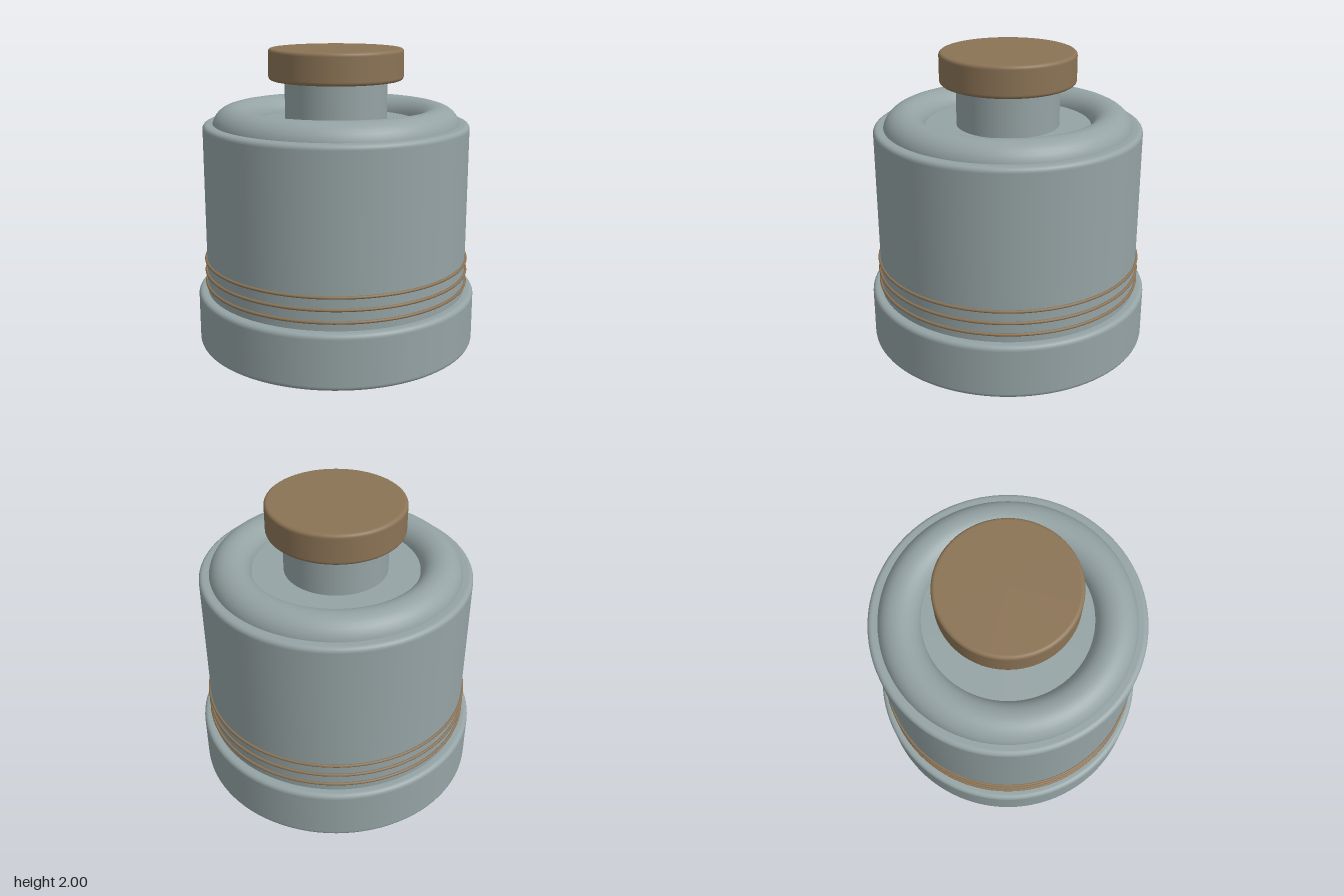
import * as THREE from 'three';

const SEGMENTS = 96;

// Solid disc with rounded rims; points beside each rim keep the flats shaded flat.
function roundedDisc(radius, y0, y1, bevel) {
  const eps = 0.002, steps = 6;
  const points = [new THREE.Vector2(0, y0), new THREE.Vector2(radius - bevel - eps, y0)];
  const rim = (cy, start) => {
    for (let i = 0; i <= steps; i++) {
      const a = start + (i / steps) * Math.PI / 2;
      points.push(new THREE.Vector2(radius - bevel + Math.cos(a) * bevel, cy + Math.sin(a) * bevel));
    }
  };
  rim(y0 + bevel, -Math.PI / 2);
  points.push(new THREE.Vector2(radius, y0 + bevel + eps), new THREE.Vector2(radius, y1 - bevel - eps));
  rim(y1 - bevel, 0);
  points.push(new THREE.Vector2(radius - bevel - eps, y1), new THREE.Vector2(0, y1));
  return new THREE.LatheGeometry(points, SEGMENTS);
}

// Horizontal ring around the vertical axis.
function ring(radius, tube, y, sides) {
  return new THREE.TorusGeometry(radius, tube, sides, SEGMENTS).rotateX(Math.PI / 2).translate(0, y, 0);
}

export function createModel() {
  const model = new THREE.Group();
  model.name = 'bottle';

  const grey = new THREE.MeshStandardMaterial({ color: 0x95a3a4 });
  grey.name = 'grey';
  const bronze = new THREE.MeshStandardMaterial({ color: 0x8b7355 });
  bronze.name = 'bronze';

  const add = (name, geometry, material) => {
    const mesh = new THREE.Mesh(geometry, material);
    mesh.name = name;
    model.add(mesh);
  };

  // Base and main body
  add('base', roundedDisc(0.952, 0, 0.372, 0.03), grey);
  add('body', roundedDisc(0.89, 0.34, 1.513, 0.03), grey);

  // Rounded shoulder half sunk into the top of the body
  add('shoulder', ring(0.687, 0.14, 1.482, 32), grey);

  // Neck and stopper
  add('neck', new THREE.CylinderGeometry(0.342, 0.342, 0.32, SEGMENTS).translate(0, 1.66, 0), grey);
  add('stopper', roundedDisc(0.449, 1.794, 2, 0.022), bronze);

  // Thin trim rings above the base
  [0.428, 0.508, 0.588].forEach((y, i) => add(`trimRing${i + 1}`, ring(0.895, 0.01, y, 12), bronze));

  return model;
}
